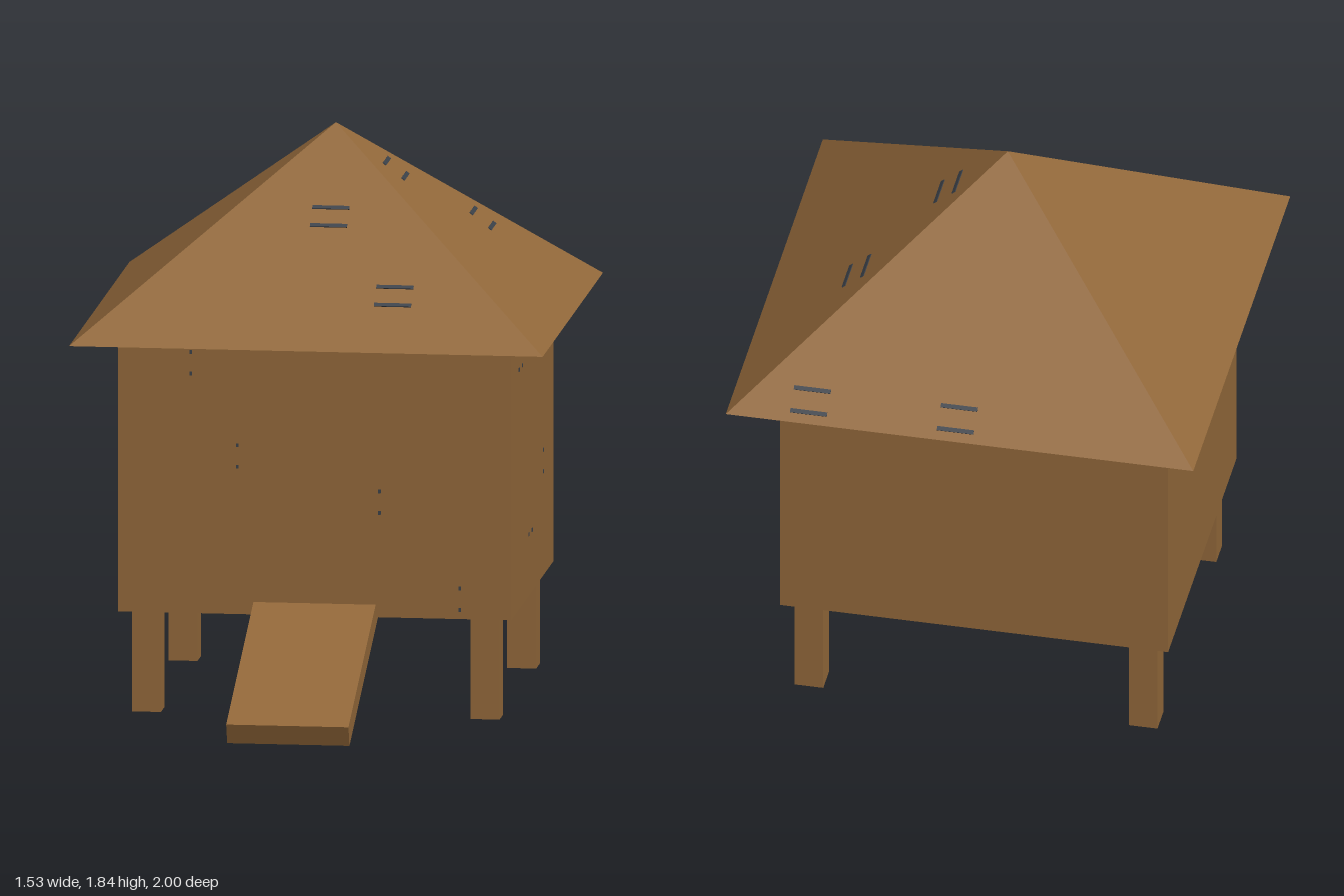
import * as THREE from 'three';

export function createModel() {
  const wood = new THREE.MeshStandardMaterial({ color: 0x92683a });
  wood.name = 'brown wood';
  wood.flatShading = true;
  const slate = new THREE.MeshStandardMaterial({ color: 0x3a4048 });
  slate.name = 'dark slate';

  const model = new THREE.Group();
  model.name = 'coop';

  const addBox = (name, size, pos, material = wood, parent = model) => {
    const mesh = new THREE.Mesh(new THREE.BoxGeometry(...size), material);
    mesh.name = name;
    mesh.position.set(...pos);
    parent.add(mesh);
    return mesh;
  };

  // Raised body on four square legs
  addBox('body', [1.27, 0.892, 1.08], [0, 0.776, -0.23]);
  for (const x of [-0.547, 0.547]) {
    addBox('frontLeg', [0.094, 0.33, 0.092], [x, 0.165, 0.234]);
    addBox('backLeg', [0.094, 0.33, 0.092], [x, 0.165, -0.694]);
  }

  // Sloping entry ramp
  addBox('ramp', [0.395, 0.07, 0.78], [0, 0.207, 0.625]).rotation.x = 0.38;

  // Pyramid roof with overhanging eaves, just clear of the walls
  const half = 0.765, rise = 0.61, apexY = 1.84, apexZ = -0.235;
  const roofGeometry = new THREE.ConeGeometry(half * Math.SQRT2, rise, 4);
  roofGeometry.rotateY(Math.PI / 4);
  const roof = new THREE.Mesh(roofGeometry, wood);
  roof.name = 'roof';
  roof.position.set(0, apexY - rise / 2, apexZ);
  model.add(roof);

  // Paired slats on the roof slopes: [turn, along the slope, distances from the apex]
  const slats = [
    [0, 0.02, [0.285, 0.345]],
    [0, 0.26, [0.545, 0.605]],
    [Math.PI, -0.02, [0.675, 0.735]],
    [Math.PI, -0.5, [0.675, 0.735]],
    [Math.PI / 2, 0.025, [0.16, 0.22]],
    [Math.PI / 2, 0.265, [0.41, 0.47]],
  ];
  const slope = rise / half;
  for (const [turn, along, distances] of slats) {
    const pair = new THREE.Group();
    pair.name = 'roofSlats';
    pair.position.set(0, apexY, apexZ);
    pair.rotation.y = turn;
    for (const d of distances) {
      const slat = addBox('slat', [0.12, 0.006, 0.014], [along, -slope * d, d], slate, pair);
      slat.rotation.x = Math.atan(slope);
    }
    model.add(pair);
  }

  // Tiny nail heads on the front and left walls
  const frontNails = [[-0.4, 1.18], [-0.4, 1.11], [-0.25, 0.88], [-0.25, 0.81],
    [0.21, 0.74], [0.21, 0.67], [0.47, 0.43], [0.47, 0.36]];
  for (const [x, y] of frontNails) addBox('nail', [0.008, 0.012, 0.004], [x, y, 0.31], slate);
  const sideNails = [[0.11, 1.18], [0.11, 1.11], [0.03, 1.18], [0.03, 1.11],
    [-0.5, 0.74], [-0.5, 0.67], [-0.14, 0.53], [-0.22, 0.53]];
  for (const [z, y] of sideNails) addBox('nail', [0.004, 0.012, 0.012], [0.635, y, z], slate);

  return model;
}
